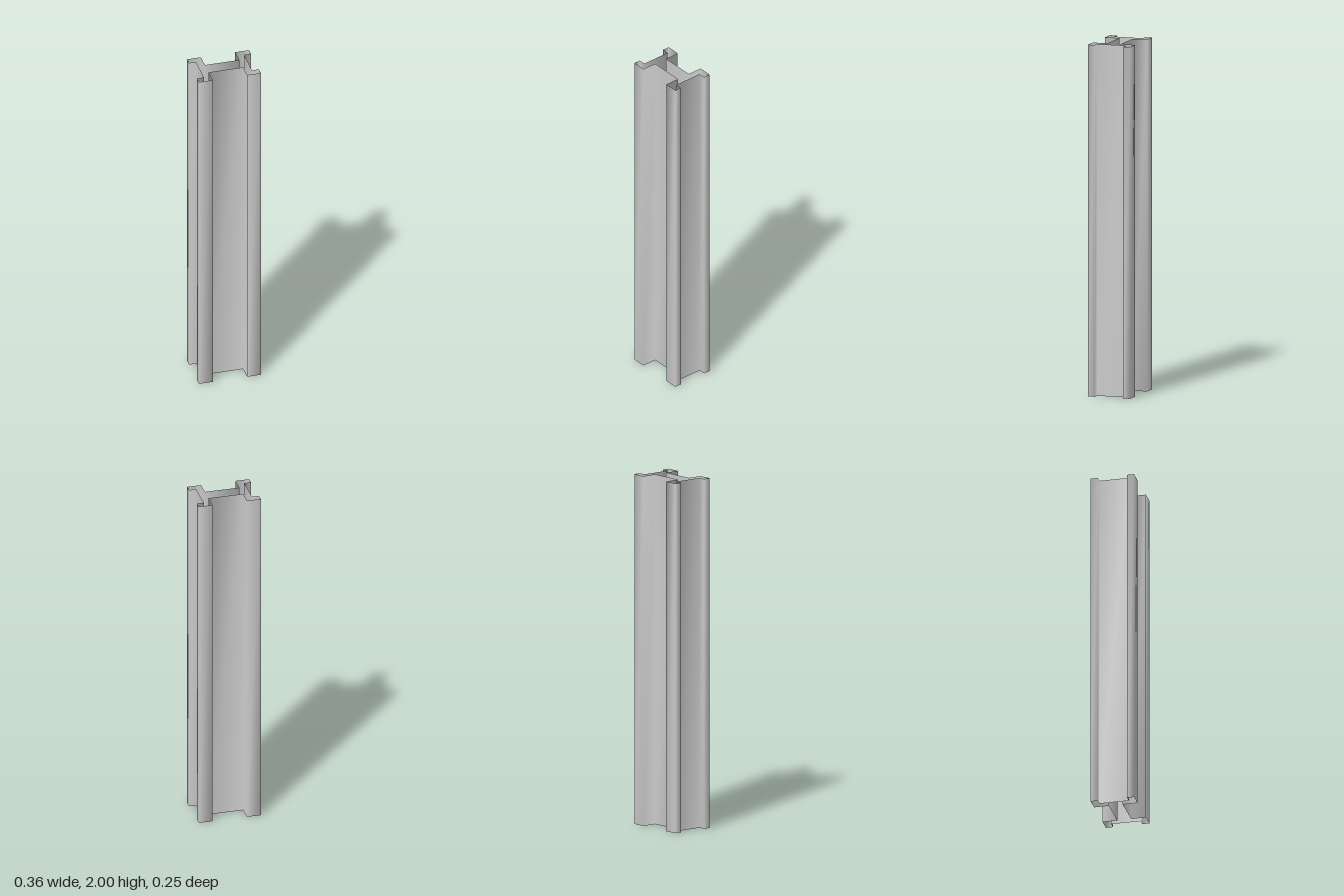
import * as THREE from 'three';

const HEIGHT = 2;

// Front half of the grooved column outline as [x, z], running from +x to -x
const QUARTER = [[0.14, 0.085], [0.18, 0.085], [0.18, 0.125], [0.1, 0.125], [0.1, 0.04]];
const frontHalf = [...QUARTER, ...[...QUARTER].reverse().map(([x, z]) => [-x, z])];
const outline = [...frontHalf, ...frontHalf.map(([x, z]) => [-x, -z])];

// Open-ended wall that follows a closed outline, with shared corners for smooth normals
function outlineWall(points, height) {
  const positions = [];
  const indices = [];
  points.forEach(([x, z], i) => {
    positions.push(x, 0, z, x, height, z);
    const a = 2 * i;
    const b = 2 * ((i + 1) % points.length);
    indices.push(a, a + 1, b, b, a + 1, b + 1);
  });
  const geometry = new THREE.BufferGeometry();
  geometry.setAttribute('position', new THREE.Float32BufferAttribute(positions, 3));
  geometry.setIndex(indices);
  geometry.computeVertexNormals();
  return geometry;
}

export function createModel() {
  const group = new THREE.Group();
  group.name = 'groovedPost';
  const material = new THREE.MeshStandardMaterial({ color: 0xcccccc, side: THREE.DoubleSide });

  // Hollow post, open at both ends
  const post = new THREE.Mesh(outlineWall(outline, HEIGHT), material);
  post.name = 'postWall';
  group.add(post);
  return group;
}
